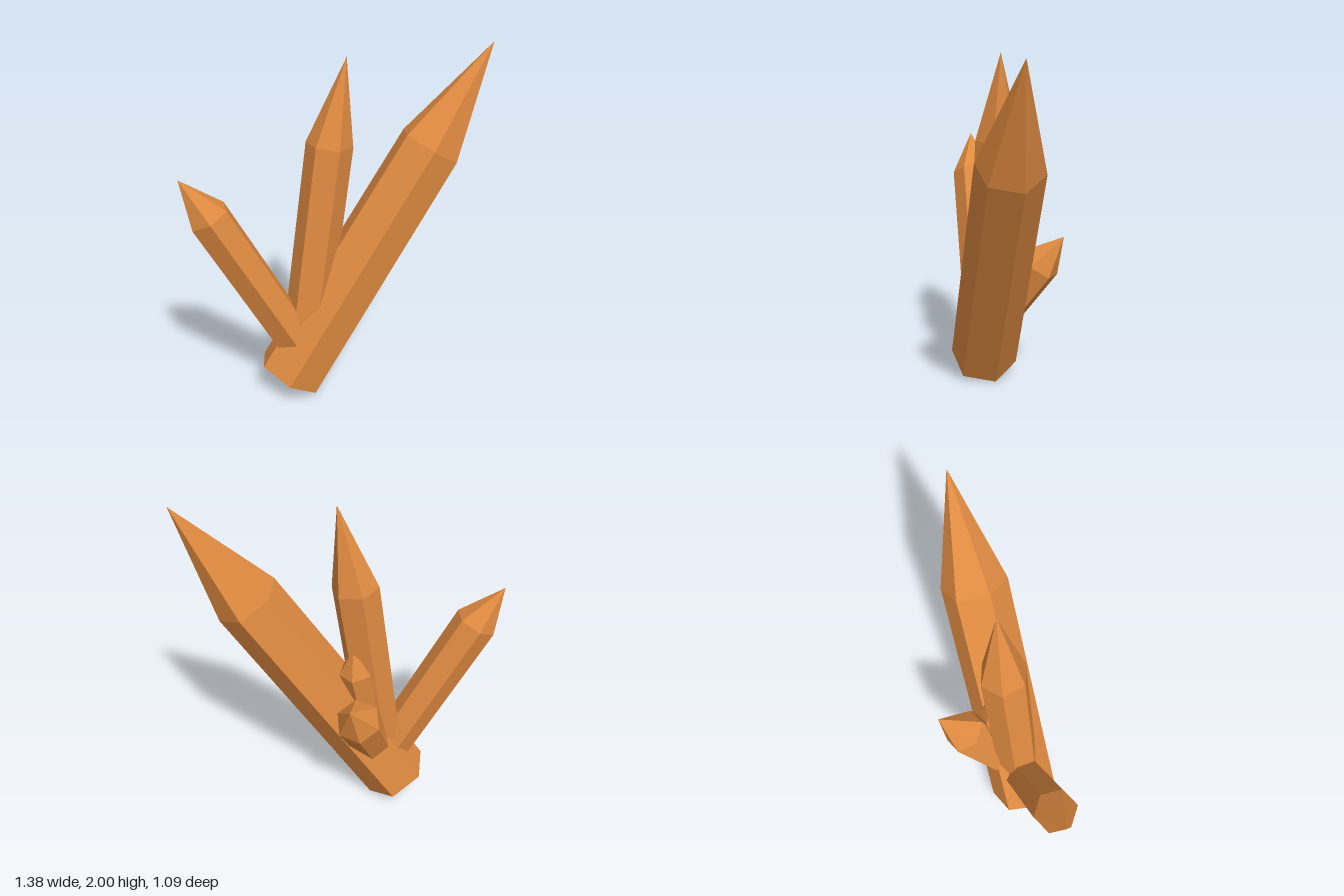
import * as THREE from 'three';

const amber = new THREE.MeshStandardMaterial({ color: 0xe08b41, flatShading: true });
amber.name = 'amber';

const SIDES = 6;

// Hexagonal ring square to the axis; one corner points along the hint
function ring(center, axis, hint, radius) {
  const u = hint.clone().addScaledVector(axis, -hint.dot(axis)).normalize();
  const v = axis.clone().cross(u);
  return Array.from({ length: SIDES }, (_, i) => {
    const a = (i / SIDES) * Math.PI * 2;
    return center.clone()
      .addScaledVector(u, Math.cos(a) * radius)
      .addScaledVector(v, Math.sin(a) * radius);
  });
}

// Six-sided prism from base to shoulder, closed by a pointed tip
function crystal({ name, base, shoulder, tip, hint, r0, r1 }) {
  const [b, s, t, h] = [base, shoulder, tip, hint].map((p) => new THREE.Vector3(...p));
  const axis = s.clone().sub(b).normalize();
  const low = ring(b, axis, h, r0);
  const high = ring(s, axis, h, r1);
  const points = [];
  for (let i = 0; i < SIDES; i++) {
    const j = (i + 1) % SIDES;
    points.push(low[i], low[j], high[j], low[i], high[j], high[i]); // side
    points.push(high[i], high[j], t); // tip facet
    points.push(b, low[j], low[i]); // base cap
  }
  const geometry = new THREE.BufferGeometry().setFromPoints(points);
  geometry.computeVertexNormals();
  const mesh = new THREE.Mesh(geometry, amber);
  mesh.name = name;
  return mesh;
}

const CRYSTALS = [
  { name: 'mainCrystal', base: [-0.24, 0.10, 0.19], shoulder: [0.415, 1.44, -0.325],
    tip: [0.69, 2.0, -0.54], hint: [0.08, 0.03, 0.18], r0: 0.2, r1: 0.183 },
  { name: 'uprightCrystal', base: [-0.165, 0.32, 0.125], shoulder: [-0.056, 1.495, -0.003],
    tip: [0.02, 1.97, -0.06], hint: [0.13, 0, -0.04], r0: 0.13, r1: 0.13 },
  { name: 'frontCrystal', base: [-0.2, 0.32, 0.165], shoulder: [-0.57, 1.18, 0.45],
    tip: [-0.69, 1.4, 0.53], hint: [0.11, 0.05, 0], r0: 0.118, r1: 0.12 },
  { name: 'backCrystal', base: [-0.14, 0.35, 0.09], shoulder: [-0.19, 0.77, -0.2],
    tip: [-0.22, 0.94, -0.34], hint: [1, 0, 0], r0: 0.115, r1: 0.128 },
  { name: 'innerCrystal', base: [-0.14, 0.3, 0.12], shoulder: [-0.085, 0.98, -0.035],
    tip: [-0.083, 1.15, -0.07], hint: [0.07, 0, -0.07], r0: 0.1, r1: 0.1 },
];

export function createModel() {
  const group = new THREE.Group();
  group.name = 'crystalCluster';
  CRYSTALS.forEach((spec) => group.add(crystal(spec)));
  return group;
}
